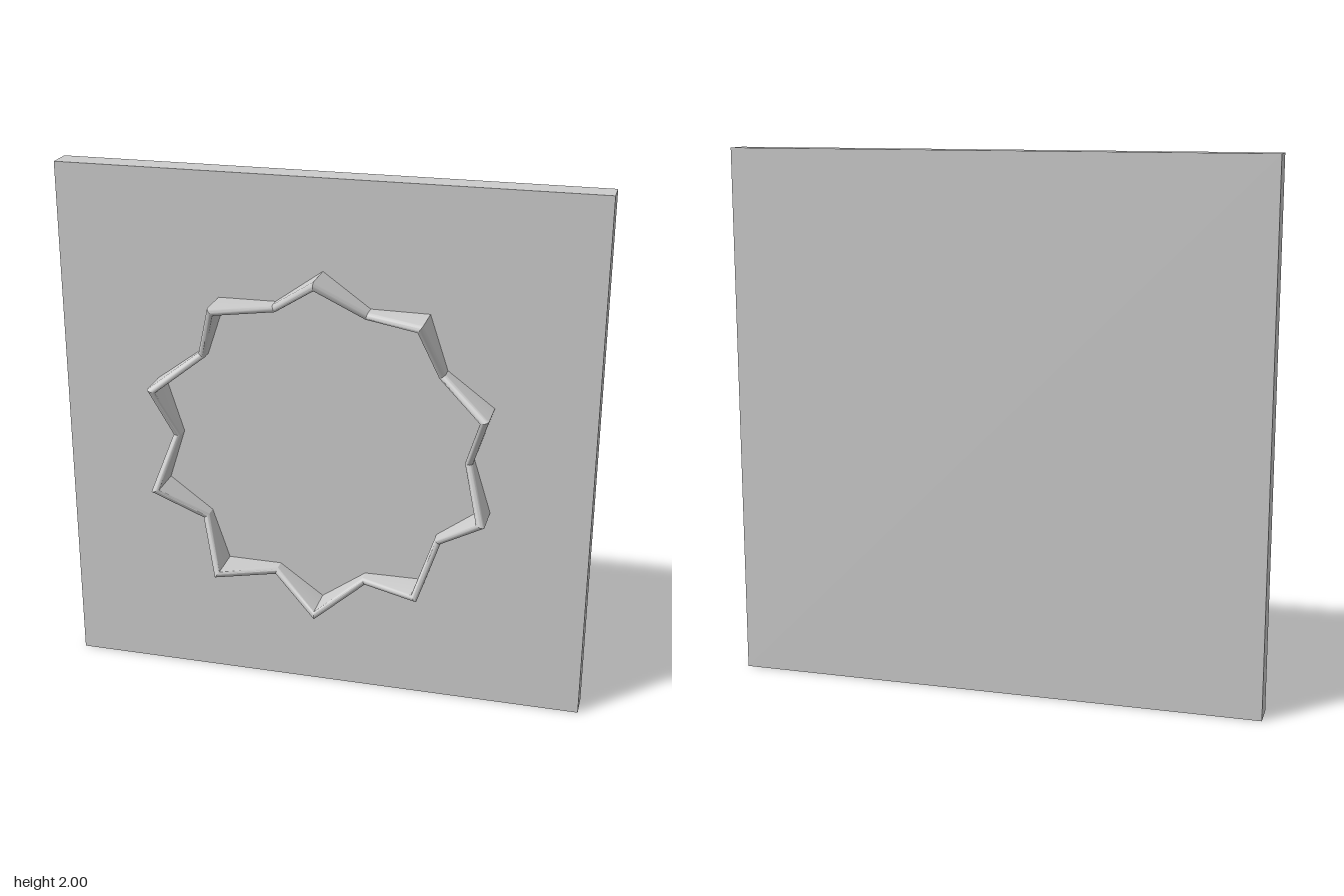
import * as THREE from 'three';
import { toCreasedNormals } from 'three/addons/utils/BufferGeometryUtils.js';

const POINTS = 10;          // star tips
const HALF = 0.0135;        // half the wall thickness
const BASE = -0.04;         // wall foot, sunk into the panel
const TIP = { r: 0.648, top: 0.12 };
const VALLEY = { r: 0.553, top: 0.03 };

// Mitred zigzag wall with a rounded crest that rises to the tips and dips in the valleys
function starWallGeometry() {
  const half = Math.PI / POINTS;
  // angle between a wall segment and the radius at a tip, then at a valley
  const tipAngle = Math.atan2(VALLEY.r * Math.sin(half), TIP.r - VALLEY.r * Math.cos(half));
  const mitres = [HALF / Math.sin(tipAngle), HALF / Math.sin(tipAngle + half)];

  // cross-section from outer foot over the crest to inner foot: [side, drop from top]
  const section = [[1, null]];
  const arc = 8;
  for (let i = 0; i <= arc; i++) {
    const a = (Math.PI * i) / arc;
    section.push([Math.cos(a), HALF * (1 - Math.sin(a))]);
  }
  section.push([-1, null]);

  const positions = [], index = [];
  const rings = POINTS * 2, n = section.length;
  for (let i = 0; i < rings; i++) {
    const { r, top } = i % 2 ? VALLEY : TIP;
    const a = Math.PI / 2 + i * half;
    for (const [side, drop] of section) {
      const d = r + side * mitres[i % 2];
      positions.push(d * Math.cos(a), d * Math.sin(a), drop === null ? BASE : top - drop);
    }
    const next = (i + 1) % rings;
    for (let j = 0; j < n - 1; j++) {
      const p = i * n + j, q = next * n + j;
      index.push(p, q, q + 1, p, q + 1, p + 1);
    }
  }
  const geometry = new THREE.BufferGeometry();
  geometry.setAttribute('position', new THREE.Float32BufferAttribute(positions, 3));
  geometry.setIndex(index);
  return toCreasedNormals(geometry, 0.5);
}

export function createModel() {
  const group = new THREE.Group();
  const material = new THREE.MeshStandardMaterial({ color: 0xcccccc });

  // Square backing panel
  const panel = new THREE.Mesh(new THREE.BoxGeometry(2, 2, 0.097), material);
  panel.name = 'backPanel';
  panel.position.set(0, 1, -0.0715);
  group.add(panel);

  // Raised star-shaped rim
  const wallMaterial = material.clone();
  wallMaterial.side = THREE.DoubleSide;
  const wall = new THREE.Mesh(starWallGeometry(), wallMaterial);
  wall.name = 'starRim';
  wall.position.y = 1;
  group.add(wall);

  return group;
}
